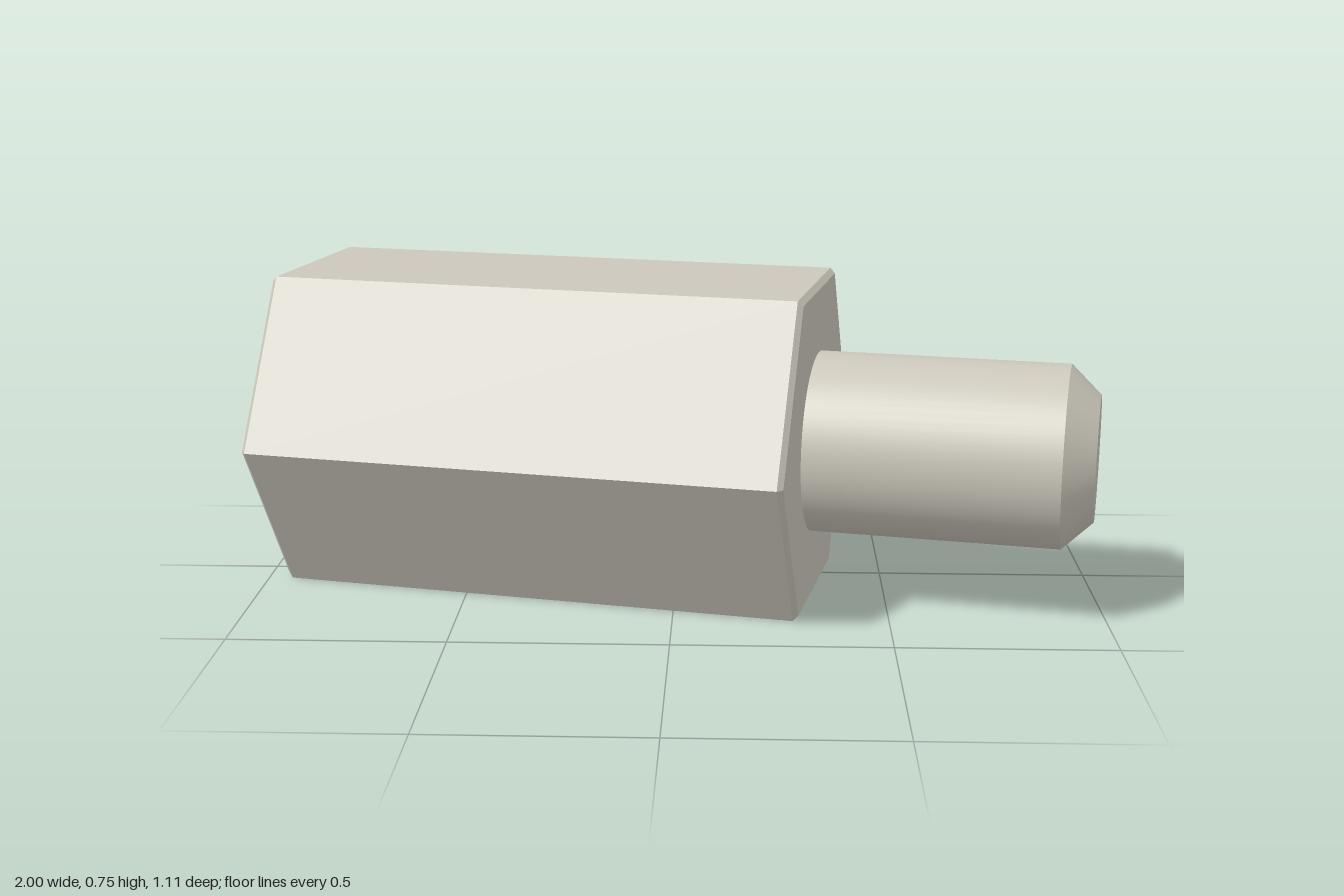
import * as THREE from 'three';
import { mergeGeometries } from 'three/addons/utils/BufferGeometryUtils.js';

// Revolve a profile of [radius, position along axis]; each band keeps its own normals so edges stay sharp
function revolve(profile, segments) {
  const bands = [];
  for (let i = 0; i < profile.length - 1; i++) {
    const pts = [profile[i], profile[i + 1]].map(([r, y]) => new THREE.Vector2(r, y));
    bands.push(new THREE.LatheGeometry(pts, segments));
  }
  return mergeGeometries(bands);
}

export function createModel() {
  const metal = new THREE.MeshStandardMaterial({ color: 0xcbc7bb });
  metal.name = 'brushed metal';

  const half = 0.636;             // half length of the hex body
  const corner = 0.75 / Math.sqrt(3); // centre to hex corner
  const bevel = 0.014;
  const boreR = 0.177, mouthR = 0.236, boreDepth = 0.85;
  const studR = 0.213, studTipR = 0.146, studEnd = 1.285;

  const standoff = new THREE.Group();
  standoff.name = 'standoff';
  const add = (name, geometry) => {
    geometry.rotateZ(-Math.PI / 2); // lay the part's axis along x
    const mesh = new THREE.Mesh(geometry, metal);
    mesh.name = name;
    standoff.add(mesh);
  };

  // Hexagonal body with bevelled ends and a closed stud end
  const hex = revolve([
    [corner - bevel, -half], [corner, -half + 0.012],
    [corner, half - 0.012], [corner - bevel, half], [0, half],
  ], 6).toNonIndexed();
  hex.computeVertexNormals();
  add('hexBody', hex);

  // End face around the socket mouth
  const face = new THREE.Shape();
  for (let k = 0; k < 6; k++) {
    const a = Math.PI / 2 + k * Math.PI / 3, r = corner - bevel;
    face[k ? 'lineTo' : 'moveTo'](r * Math.cos(a), r * Math.sin(a));
  }
  face.closePath();
  face.holes.push(new THREE.Path().absarc(0, 0, mouthR, 0, Math.PI * 2, true));
  const faceGeometry = new THREE.ShapeGeometry(face, 32);
  faceGeometry.rotateX(Math.PI / 2);
  faceGeometry.translate(0, -half, 0);
  add('socketFace', faceGeometry);

  // Countersunk blind bore, facing inward
  add('socketBore', revolve([
    [0, -half + boreDepth], [boreR, -half + boreDepth],
    [boreR, -half + 0.06], [mouthR, -half],
  ], 64));

  // Round stud with a chamfered tip
  add('stud', revolve([
    [studR, half], [studR, studEnd - 0.07], [studTipR, studEnd], [0, studEnd],
  ], 64));

  standoff.rotation.y = -Math.PI / 15;
  standoff.position.set(-0.2875, 0.375, 0);

  const model = new THREE.Group();
  model.name = 'hexStandoff';
  model.add(standoff);
  return model;
}
